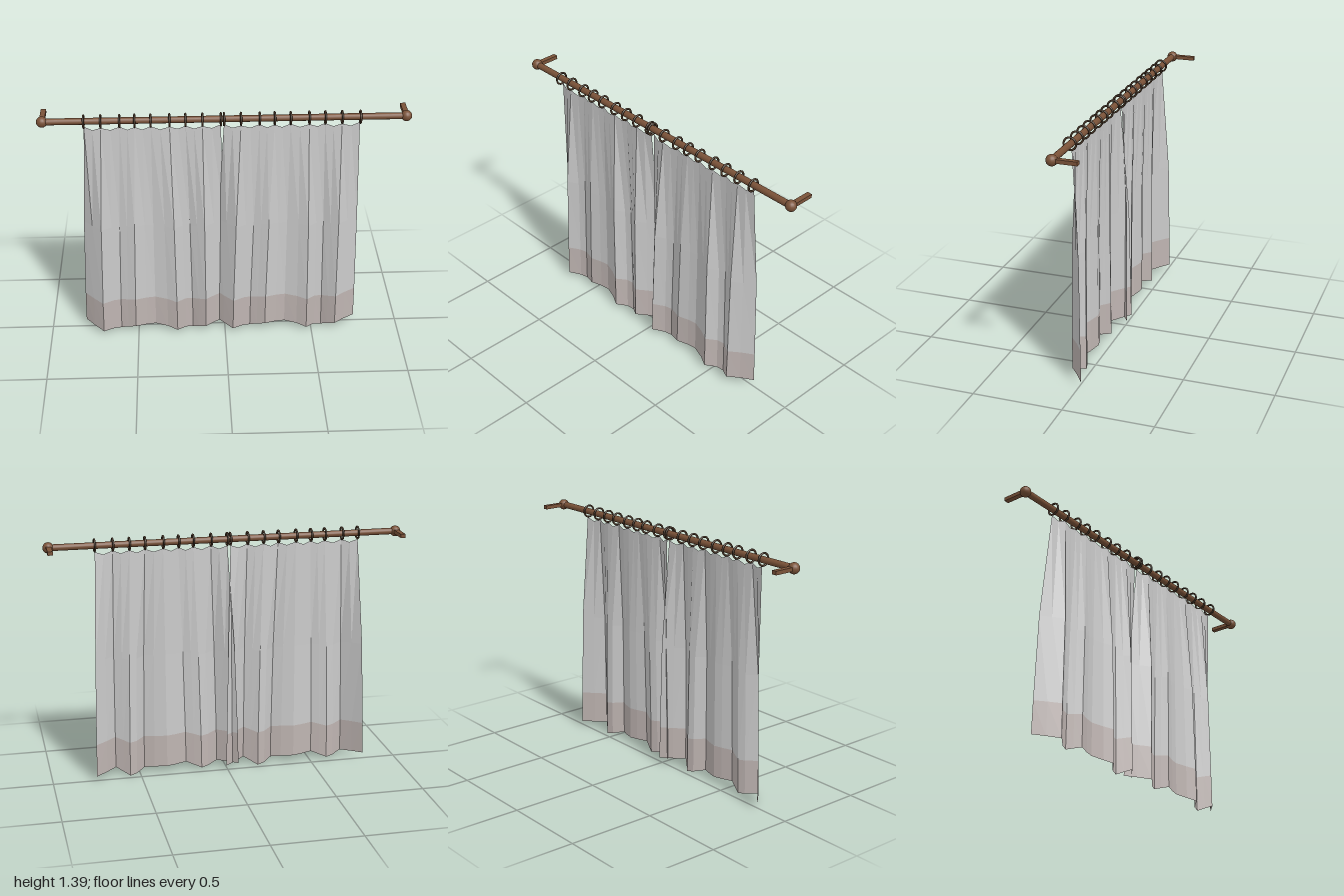
import * as THREE from 'three';

const ROD_Y = 1.347, ROD_Z = 0.036, PANEL_STEP = 0.745;

// Curtain columns: top x, bottom x, bottom z, bottom y (every other column hangs from a ring)
const COLUMNS = [
  [-0.75, -0.805, -0.015, 0.04], [-0.705, -0.755, 0.04, 0.033], [-0.66, -0.70, 0.095, 0.025],
  [-0.61, -0.64, 0.05, 0.015], [-0.56, -0.60, 0.036, 0.01], [-0.52, -0.56, 0.052, 0.025],
  [-0.48, -0.515, 0.072, 0.04], [-0.44, -0.45, 0.05, 0.038], [-0.395, -0.40, 0.04, 0.036],
  [-0.345, -0.33, 0.062, 0.03], [-0.295, -0.275, 0.09, 0.02], [-0.25, -0.225, 0.04, 0.008],
  [-0.21, -0.185, 0.03, 0], [-0.165, -0.15, 0.056, 0.018], [-0.12, -0.11, 0.083, 0.038],
  [-0.07, -0.055, 0.034, 0.034], [-0.022, 0.01, -0.013, 0.03],
];

// Rows from the rod down: x blend, z blend, height of a column
const TOP = { fx: 0, fz: 0.17, y: (c, i) => (i % 2 ? 1.295 : 1.312) };
const MIDDLE = { fx: 0.62, fz: 0.85, y: (c) => 0.69 + c[3] * 0.4 };
const HEM = { fx: 0.93, fz: 0.96, y: (c) => 0.2 + c[3] * 0.6 };
const BOTTOM = { fx: 1, fz: 1, y: (c) => c[3] };

// Pleated strip of cloth between the given rows
function cloth(rows) {
  const positions = [], index = [], n = COLUMNS.length;
  rows.forEach((row, r) => COLUMNS.forEach((c, i) => {
    positions.push(
      THREE.MathUtils.lerp(c[0], c[1], row.fx),
      row.y(c, i),
      THREE.MathUtils.lerp(0.04, c[2], row.fz),
    );
    if (r && i) {
      const d = r * n + i, a = d - n;
      index.push(a - 1, d - 1, d, a - 1, d, a);
    }
  }));
  const geometry = new THREE.BufferGeometry();
  geometry.setAttribute('position', new THREE.Float32BufferAttribute(positions, 3));
  geometry.setIndex(index);
  const flat = geometry.toNonIndexed();
  flat.computeVertexNormals();
  return flat;
}

export function createModel() {
  const group = new THREE.Group();
  const wood = new THREE.MeshStandardMaterial({ color: 0x7a5238 });
  const darkMetal = new THREE.MeshStandardMaterial({ color: 0x4a3828 });
  const fabric = new THREE.MeshStandardMaterial({ color: 0xcccccc, flatShading: true, side: THREE.DoubleSide });
  const hemFabric = new THREE.MeshStandardMaterial({ color: 0xbfb5b2, flatShading: true, side: THREE.DoubleSide });

  const add = (parent, name, geometry, material, x = 0, y = 0, z = 0) => {
    const mesh = new THREE.Mesh(geometry, material);
    mesh.name = name;
    mesh.position.set(x, y, z);
    parent.add(mesh);
    return mesh;
  };

  // Rod with ball ends and wall brackets
  add(group, 'rod', new THREE.CylinderGeometry(0.018, 0.018, 1.94, 16).rotateZ(Math.PI / 2), wood, 0, ROD_Y, ROD_Z);
  const ball = new THREE.SphereGeometry(0.03, 16, 12);
  const bracket = new THREE.BoxGeometry(0.028, 0.021, 0.136);
  for (const [side, s] of [['left', 1], ['right', -1]]) {
    add(group, side + 'Finial', ball, wood, s * 0.97, ROD_Y, ROD_Z);
    add(group, side + 'Bracket', bracket, wood, s * 0.97, ROD_Y, -0.032);
  }

  // Two matching curtains, each with its own rings
  const panelGeometry = cloth([TOP, MIDDLE, HEM]);
  const hemGeometry = cloth([HEM, BOTTOM]);
  const ring = new THREE.TorusGeometry(0.033, 0.0055, 8, 20).rotateY(Math.PI / 2);
  ['right', 'left'].forEach((side, k) => {
    const curtain = new THREE.Group();
    curtain.name = side + 'Curtain';
    curtain.position.x = k * PANEL_STEP;
    add(curtain, 'panel', panelGeometry, fabric);
    add(curtain, 'hem', hemGeometry, hemFabric);
    COLUMNS.forEach((c, i) => {
      if (i % 2 === 0) add(curtain, 'ring', ring, darkMetal, c[0], ROD_Y, ROD_Z + 0.004);
    });
    group.add(curtain);
  });
  return group;
}
